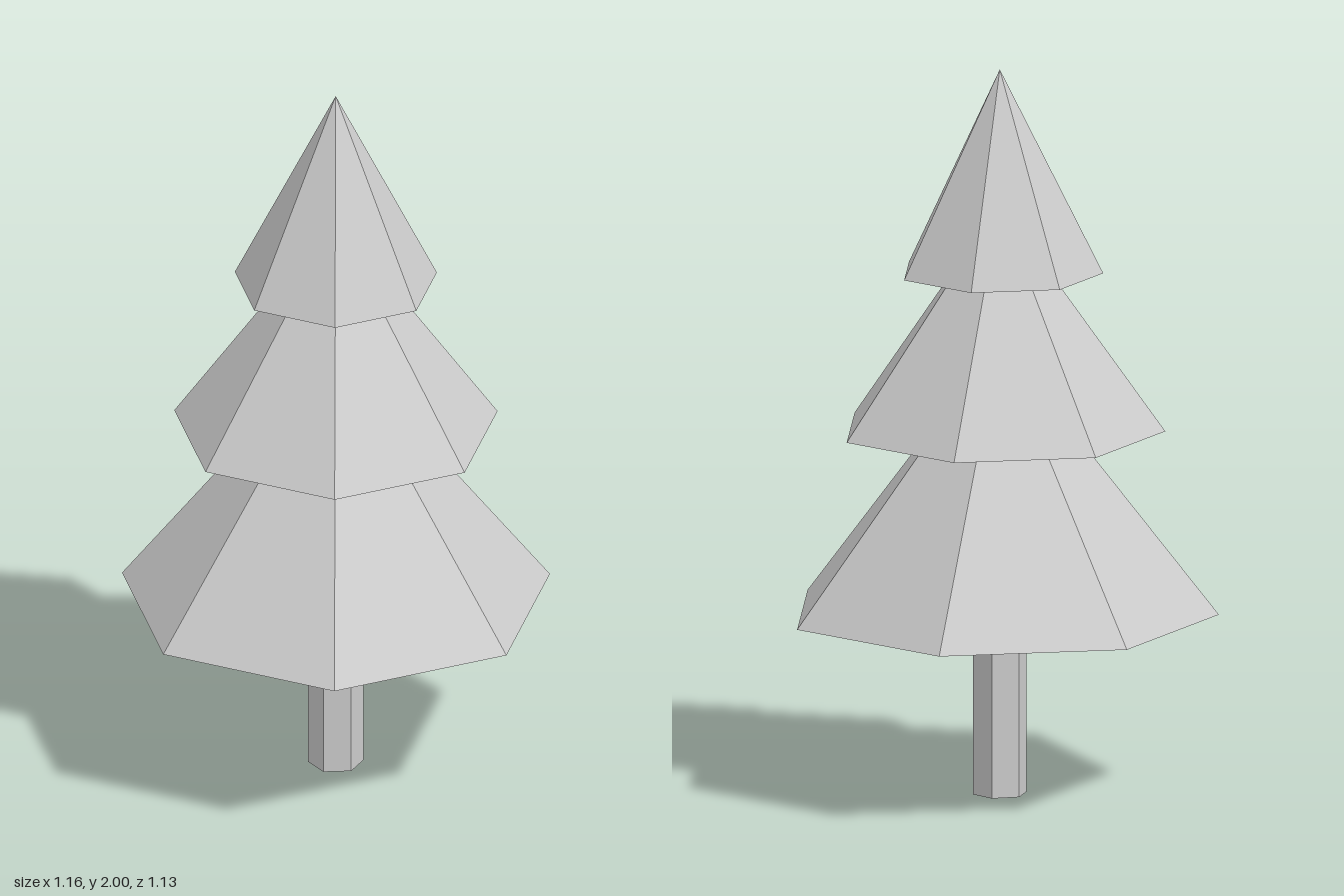
import * as THREE from 'three';

export function createModel() {
  const tree = new THREE.Group();
  tree.name = 'pineTree';
  const grey = new THREE.MeshStandardMaterial({ color: 0xcccccc, flatShading: true });
  grey.name = 'light grey';
  const axisZ = 0.029; // puts the seven-sided outline in the middle along z

  function add(name, geometry, y) {
    const mesh = new THREE.Mesh(geometry, grey);
    mesh.name = name;
    mesh.position.set(0, y, axisZ);
    tree.add(mesh);
    return mesh;
  }

  // Six-sided trunk with a corner facing forward
  add('trunk', new THREE.CylinderGeometry(0.075, 0.075, 0.5, 6), 0.25);

  // Seven-sided foliage cones, a flat side facing forward: [name, radius, base, tip]
  const tiers = [
    ['lowerFoliage', 0.593, 0.5, 1.255],
    ['middleFoliage', 0.448, 1.005, 1.63],
    ['upperFoliage', 0.28, 1.44, 2],
  ];
  for (const [name, radius, base, tip] of tiers) {
    const cone = add(name, new THREE.ConeGeometry(radius, tip - base, 7), (base + tip) / 2);
    cone.rotation.y = Math.PI;
  }

  return tree;
}
